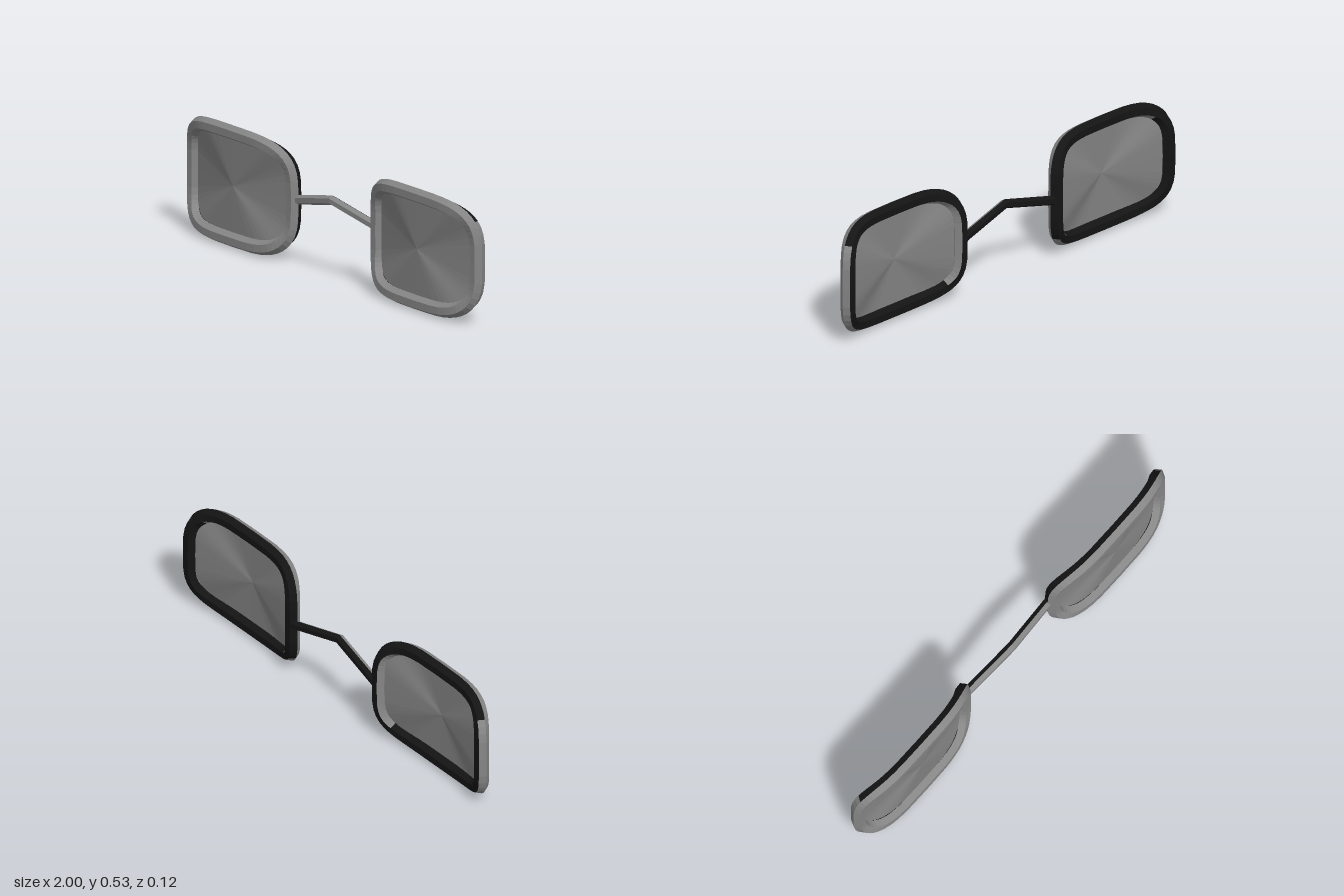
import * as THREE from 'three';

const mat = (name, color, extra = {}) => {
  const m = new THREE.MeshStandardMaterial({ color, flatShading: true, ...extra });
  m.name = name;
  return m;
};

// Six-sided tube along a path; isDark(strip, normal) picks the material of each face.
// Strips run outer-front, front, inner-front, inner-back, back, outer-back.
function hexTube(path, radius, closed, isDark) {
  const n = path.length;
  const at = i => path[closed ? (i + n) % n : Math.min(Math.max(i, 0), n - 1)];
  const rings = path.map((p, i) => {
    const t = at(i + 1).clone().sub(at(i - 1)).normalize();
    const out = new THREE.Vector3(t.y, -t.x, 0).normalize();
    const front = out.clone().cross(t);
    const corners = [];
    for (let k = 0; k < 6; k++) {
      const a = k * Math.PI / 3;
      corners.push(p.clone().addScaledVector(out, radius * Math.cos(a)).addScaledVector(front, radius * Math.sin(a)));
    }
    return corners;
  });
  const light = [], dark = [];
  for (let i = 0; i < (closed ? n : n - 1); i++) {
    const r = rings[i], s = rings[(i + 1) % n];
    for (let k = 0; k < 6; k++) {
      const l = (k + 1) % 6;
      const normal = s[k].clone().sub(r[k]).cross(r[l].clone().sub(r[k])).normalize();
      const list = isDark(k, normal) ? dark : light;
      for (const v of [r[k], s[k], s[l], r[k], s[l], r[l]]) list.push(v.x, v.y, v.z);
    }
  }
  const geo = new THREE.BufferGeometry();
  geo.setAttribute('position', new THREE.Float32BufferAttribute([...light, ...dark], 3));
  geo.addGroup(0, light.length / 3, 0);
  geo.addGroup(light.length / 3, dark.length / 3, 1);
  geo.computeVertexNormals();
  return geo;
}

// Rounded-rectangle outline that bows backward at its left and right sides
function rimPath(cx, scale = 1, segments = 48) {
  const root = v => Math.sign(v) * Math.sqrt(Math.abs(v));
  const points = [];
  for (let i = 0; i < segments; i++) {
    const a = i / segments * Math.PI * 2;
    points.push(new THREE.Vector3(
      cx + 0.34 * scale * root(Math.cos(a)),
      0.265 + 0.233 * scale * root(Math.sin(a)),
      -0.03 * Math.cos(2 * a)));
  }
  return points;
}

// Fan of triangles from the lens centre to the rim
function lensGeometry(cx) {
  const rim = rimPath(cx, 0.98);
  const pos = [];
  rim.forEach((p, i) => {
    const q = rim[(i + 1) % rim.length];
    pos.push(cx, 0.265, 0.03, p.x, p.y, p.z, q.x, q.y, q.z);
  });
  const geo = new THREE.BufferGeometry();
  geo.setAttribute('position', new THREE.Float32BufferAttribute(pos, 3));
  geo.computeVertexNormals();
  return geo;
}

export function createModel() {
  const group = new THREE.Group();
  const frameGrey = mat('frame grey', 0x868686);
  const backBlack = mat('back black', 0x141414);
  const lensGrey = mat('lens grey', 0x828282, { side: THREE.DoubleSide });
  const add = (name, geo, material) => {
    const mesh = new THREE.Mesh(geo, material);
    mesh.name = name;
    group.add(mesh);
  };

  // Rims and lenses, one pair per side
  for (const [side, s] of [['left', 1], ['right', -1]]) {
    const cx = s * 0.628;
    const dark = (k, n) => k === 4 || ((k === 3 || k === 5) && n.y - s * n.x > 0);
    add(side + 'Rim', hexTube(rimPath(cx), 0.032, true, dark), [frameGrey, backBlack]);
    add(side + 'Lens', lensGeometry(cx), lensGrey);
  }

  // Bridge, raised and pushed forward in the middle
  const bridge = [[0.285, 0.269, -0.038], [0, 0.333, -0.01], [-0.285, 0.269, -0.038]]
    .map(p => new THREE.Vector3(...p));
  add('bridge', hexTube(bridge, 0.021, false, k => k >= 3), [frameGrey, backBlack]);

  return group;
}
